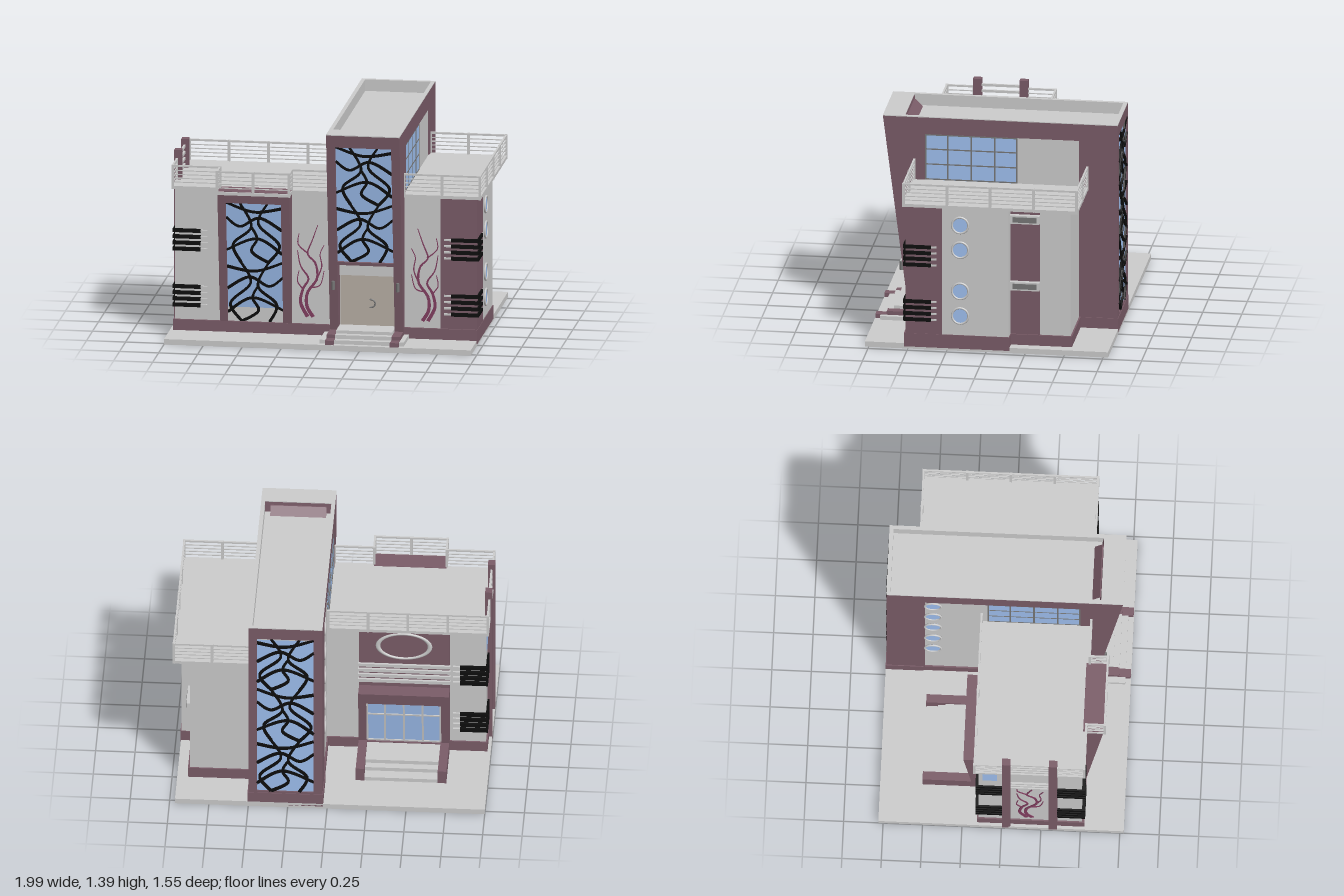
import * as THREE from 'three';

const mat = (color) => new THREE.MeshStandardMaterial({ color, side: THREE.DoubleSide });
const GREY = mat(0xcccccc), MAROON = mat(0x7a5c68), GLASS = mat(0x9fc0f0), BLACK = mat(0x0d0d0d);
const DOOR = mat(0xb8afa5), TREE = mat(0x823e60), DARK = mat(0x777777);
const LEAN = 0.127; // outward lean of the slanted frames, per unit of height

function add(parent, name, geo, material) {
  const m = new THREE.Mesh(geo, material);
  m.name = name;
  parent.add(m);
  return m;
}
function sub(parent, name) {
  const g = new THREE.Group();
  g.name = name;
  parent.add(g);
  return g;
}
// box given by its extents
const boxGeo = (x0, x1, y0, y1, z0, z1) =>
  new THREE.BoxGeometry(x1 - x0, y1 - y0, z1 - z0).translate((x0 + x1) / 2, (y0 + y1) / 2, (z0 + z1) / 2);
const box = (p, name, m, ...e) => add(p, name, boxGeo(...e), m);
const poly = (pts) => pts.map(([a, b]) => new THREE.Vector2(a, b));
const rect = (x0, x1, y0, y1) => [[x0, y0], [x1, y0], [x1, y1], [x0, y1]];
function plate(outline, holes, depth) {
  const s = new THREE.Shape(poly(outline));
  holes.forEach((h) => s.holes.push(new THREE.Path(poly(h))));
  return new THREE.ExtrudeGeometry(s, { depth, bevelEnabled: false });
}
// (z, y) profile extruded between two x positions
const sidePlate = (outline, holes, x0, x1) => plate(outline, holes, x1 - x0).rotateY(-Math.PI / 2).translate(x1, 0, 0);
// lean a geometry forward, its face at z0 on the ground
const lean = (geo, z0, k = LEAN) =>
  geo.applyMatrix4(new THREE.Matrix4().set(1, 0, 0, 0, 0, 1, 0, 0, 0, k, 1, z0, 0, 0, 0, 1));

// flat curved strip, tapering from w0 to w1
function ribbon(pts, w0, w1, depth) {
  const c = new THREE.SplineCurve(poly(pts)), n = 24, L = [], R = [];
  for (let i = 0; i <= n; i++) {
    const t = i / n, p = c.getPoint(t), d = c.getTangent(t), w = (w0 + (w1 - w0) * t) / 2;
    L.push([p.x - d.y * w, p.y + d.x * w]);
    R.unshift([p.x + d.y * w, p.y - d.x * w]);
  }
  return plate([...L, ...R], [], depth);
}

// glass pane with a tiled web of curved black strips
const WEB = [
  [[.25, 0], [.05, .3], [.42, .65], [.25, 1]], [[.75, 0], [.88, .3], [.55, .6], [.75, 1]],
  [[0, .15], [.45, .4], [1, .2]], [[0, .55], [.4, .75], [.75, .6], [1, .75]],
  [[0, .92], [.5, .85], [1, 1]], [[.25, 0], [.55, .18], [.45, .4], [.55, .6]],
];
function artWindow(parent, x0, x1, y0, y1, tiles, place) {
  const g = sub(parent, 'artWindow'), w = x1 - x0, h = (y1 - y0) / tiles;
  add(g, 'glass', place(boxGeo(x0, x1, y0, y1, -0.05, 0)), GLASS);
  for (let t = 0; t < tiles; t++) for (const line of WEB) {
    const pts = line.map(([u, v]) => [x0 + w * (t % 2 ? 1 - u : u), y0 + h * (t + v)]);
    add(g, 'curvedStrip', place(ribbon(pts, 0.019, 0.014, 0.012)), BLACK);
  }
}

// wall ornament shaped like a bare tree
const BRANCHES = [
  [[-.12, .15], [-.165, .24], [-.15, .33], [-.115, .4], [-.165, .48], [-.185, .58]],
  [[-.085, .15], [-.125, .22], [-.12, .31], [-.06, .4], [-.07, .5], [-.12, .56], [-.09, .65], [-.055, .75]],
  [[-.06, .4], [-.03, .48], [-.04, .56], [-.015, .62]], [[-.15, .33], [-.185, .38], [-.175, .45]],
  [[-.115, .56], [-.18, .62], [-.175, .69]], [[-.1, .34], [-.04, .36], [-.015, .45]],
];
function wallTree(parent, mapX, place) {
  const g = sub(parent, 'wallTree');
  BRANCHES.forEach((b, i) =>
    add(g, 'branch', place(ribbon(b.map(([x, y]) => [mapX(x), y]), i < 2 ? 0.024 : 0.009, 0.004, 0.006)), TREE));
}

// sets of horizontal bars wrapping a corner; sx, sz point away from the building
function cornerBars(parent, x, z, sx, sz) {
  const g = sub(parent, 'cornerBars');
  const span = (c, s, a, b) => [Math.min(c + s * a, c + s * b), Math.max(c + s * a, c + s * b)];
  for (const base of [0.2, 0.565]) for (let i = 0; i < 4; i++) {
    const y = base + i * 0.04, yy = [y - 0.011, y + 0.011], tip = [y - 0.006, y + 0.006];
    box(g, 'bar', BLACK, ...span(x, sx, -0.16, 0.018), ...yy, ...span(z, sz, -0.01, 0.018));
    box(g, 'bar', BLACK, ...span(x, sx, -0.01, 0.018), ...yy, ...span(z, sz, -0.16, 0.018));
    box(g, 'barTip', GREY, ...span(x, sx, -0.205, -0.16), ...tip, ...span(z, sz, -0.005, 0.012));
    box(g, 'barTip', GREY, ...span(x, sx, -0.005, 0.012), ...tip, ...span(z, sz, -0.195, -0.16));
  }
}

// roof railing along an axis-aligned path of [x, z] points
function railing(parent, path) {
  const g = sub(parent, 'roofRailing');
  for (let i = 0; i < path.length - 1; i++) {
    const [ax, az] = path[i], [bx, bz] = path[i + 1], len = Math.abs(bx - ax) + Math.abs(bz - az);
    for (const [y, t] of [[1.0, .006], [1.025, .006], [1.05, .006], [1.075, .006], [1.105, .012]])
      add(g, 'rail', new THREE.BoxGeometry(Math.abs(bx - ax) + t, t, Math.abs(bz - az) + t)
        .translate((ax + bx) / 2, y, (az + bz) / 2), GREY);
    const n = Math.max(1, Math.round(len / 0.25));
    for (let k = 0; k <= n; k++) {
      const x = ax + (bx - ax) * k / n, z = az + (bz - az) * k / n;
      box(g, 'railPost', GREY, x - .008, x + .008, .955, 1.112, z - .008, z + .008);
    }
  }
}

function porthole(parent, x, y, z, s) {
  const g = sub(parent, 'porthole');
  add(g, 'glass', new THREE.CylinderGeometry(.05, .05, .012, 32).rotateZ(Math.PI / 2).translate(x, y, z), GLASS);
  add(g, 'ring', new THREE.TorusGeometry(.052, .007, 8, 32).rotateY(Math.PI / 2).translate(x + s * .005, y, z), GREY);
}

export function createModel() {
  const house = new THREE.Group();
  house.name = 'house';
  box(house, 'groundSlab', GREY, -1, .965, 0, .035, -.78, .775);

  // wings, plinths and roofs
  const wings = sub(house, 'wings');
  box(wings, 'leftWing', GREY, -.97, .04, .03, .956, -.145, .51);
  box(wings, 'rightWing', GREY, .49, .963, .03, .956, -.145, .51);
  box(wings, 'rightRearWing', GREY, .49, .885, .03, .956, -.53, -.145);
  box(wings, 'cornerCladding', MAROON, .73, .966, .03, .956, .28, .513);
  box(wings, 'ventStrip', MAROON, .8, .888, .03, .956, -.335, -.145);
  box(wings, 'leftPlinth', MAROON, -.98, .04, .015, .105, -.155, .525);
  box(wings, 'rightPlinth', MAROON, .49, .968, .015, .105, -.15, .525);
  box(wings, 'rightRearPlinth', MAROON, .49, .897, .015, .105, -.54, -.145);
  box(wings, 'leftRoof', GREY, -.99, .035, .955, .975, -.178, .53);
  box(wings, 'bayRoof', GREY, -.685, -.215, .955, .975, .5, .645);
  box(wings, 'rightRoof', GREY, .495, .99, .955, .975, -.588, .53);
  railing(house, [[.03, -.172], [-.982, -.172], [-.982, .01]]);
  railing(house, [[-.982, .35], [-.982, .524], [-.68, .524], [-.68, .64], [-.22, .64], [-.22, .524], [.03, .524]]);
  railing(house, [[.5, .524], [.984, .524], [.984, -.582], [.5, -.582]]);
  for (const [x, z] of [[.96, 1], [-.965, 1], [-.965, -1]]) cornerBars(house, x, z > 0 ? .512 : -.148, Math.sign(x), z);
  for (const y of [.235, .4, .675, .84]) porthole(house, .964, y, .165, 1);
  for (const y of [.405, .85]) {
    box(house, 'vent', GREY, .86, .92, y, y + .055, -.335, -.145);
    box(house, 'ventGrille', DARK, .9, .923, y + .01, y + .045, -.318, -.162);
  }
  for (const z of [-.22, -.42])
    add(house, 'soffitLight', new THREE.CylinderGeometry(.015, .015, .008, 16).translate(.93, .953, z), DARK);
  const front = (geo) => geo.translate(0, 0, .509);
  wallTree(house, (x) => x, front);
  wallTree(house, (x) => .53 - x, front);

  // left side: twin columns, bars and tree
  const side = sub(house, 'leftSide');
  for (const z of [.003, .3]) box(side, 'column', MAROON, -1, -.955, .015, 1.165, z, z + .053);
  for (const y of [.7, .74, .78, 1.0, 1.04, 1.08, 1.12]) box(side, 'crossBar', GREY, -.985, -.972, y - .008, y + .008, .05, .305);
  box(side, 'smallWindow', GLASS, -.975, -.96, .8, .93, -.12, -.03);
  wallTree(side, (x) => .28 + x, (geo) => geo.rotateY(-Math.PI / 2).translate(-.969, 0, 0));

  // leaning front bay
  const bay = sub(house, 'frontBay');
  add(bay, 'bayFrame', lean(plate(rect(-.68, -.22, .035, .977), [rect(-.63, -.275, .105, .9)], .13), .51 - .13), MAROON);
  artWindow(bay, -.63, -.275, .105, .9, 2, (geo) => lean(geo, .485));

  // tower
  const tower = sub(house, 'tower');
  const Z0 = .548, face = (y) => Z0 + LEAN * y;
  add(tower, 'towerBody', sidePlate([[-.765, .02], [.49, .02], [.49, .53], [face(.53) - .03, .53],
    [face(1.32) - .03, 1.32], [-.765, 1.32]], [], .04, .49), GREY);
  const profile = [[-.775, .02], [face(.02), .02], [face(1.39), 1.39], [-.775, 1.39]];
  for (const x of [.03, .49]) {
    add(tower, 'sideCladding', sidePlate(profile, [[[-.53, .1], [-.53, 1.28], [.455, 1.28], [.455, .1]]], x, x + .01), MAROON);
    // upper side window
    const a = x === .03 ? .034 : .486, win = sub(tower, 'sideWindow');
    box(win, 'glass', GLASS, a, a + .01, .975, 1.28, -.135, .455);
    for (const z of [-.13, .01, .16, .31, .45]) box(win, 'mullion', DARK, a - .002, a + .012, .975, 1.28, z - .005, z + .005);
    for (const y of [.98, 1.08, 1.18, 1.275]) box(win, 'transom', DARK, a - .002, a + .012, y - .004, y + .004, -.135, .455);
  }
  add(tower, 'frontFrame', lean(plate([[.03, .035], [.085, .035], [.085, .52], [.445, .52], [.445, .035], [.5, .035],
    [.5, 1.39], [.03, 1.39]], [rect(.085, .445, .54, 1.31)], .14), Z0 - .14), MAROON);
  artWindow(tower, .085, .445, .54, 1.31, 2, (geo) => lean(geo, Z0 - .025));
  add(tower, 'backFrame', plate(rect(.03, .5, .02, 1.39), [rect(.085, .445, .12, 1.31)], .012).translate(0, 0, -.776), MAROON);
  artWindow(tower, -.445, -.085, .12, 1.31, 3, (geo) => geo.rotateY(Math.PI).translate(0, 0, -.768));
  box(tower, 'backPlinth', MAROON, .025, .505, .015, .105, -.78, -.54);
  add(tower, 'parapet', plate(rect(.036, .494, -.6, .77), [rect(.055, .475, -.585, .75)], .09)
    .rotateX(-Math.PI / 2).translate(0, 1.3, 0), GREY);
  add(tower, 'parapetCap', plate(rect(.03, .5, -.725, .776), [rect(.055, .475, -.585, .75)], .006)
    .rotateX(-Math.PI / 2).translate(0, 1.389, 0), GREY);
  add(tower, 'roofPanel', lean(boxGeo(.085, .44, 1.322, 1.37, -.01, 0), .585 - 1.37, 1), MAROON);
  for (const y of [.44, .63, .83, 1.02, 1.21]) porthole(tower, .037, y, -.48, -1);

  // main entrance
  const entry = sub(house, 'mainEntrance');
  box(entry, 'door', DOOR, .09, .44, .1, .43, .48, .5);
  box(entry, 'doorLintel', GREY, .085, .445, .43, .52, .48, .51);
  add(entry, 'doorHandle', new THREE.TorusGeometry(.026, .005, 8, 20, Math.PI * 1.2)
    .rotateZ(-Math.PI * .6).translate(.285, .25, .507), DARK);
  for (const x of [.058, .472])
    add(entry, 'wallLamp', new THREE.CylinderGeometry(.011, .011, .055, 12).translate(x, .385, .61), DARK);
  box(entry, 'lowerStep', GREY, -.01, .53, .03, .06, .5, .74);
  box(entry, 'middleStep', GREY, .085, .445, .03, .085, .5, .7);
  box(entry, 'upperStep', GREY, .085, .445, .03, .105, .48, .66);
  for (const x of [.03, .445]) {
    box(entry, 'stepCheek', MAROON, x, x + .055, .03, .085, .5, .7);
    box(entry, 'stepEnd', MAROON, x, x + .055, .03, .063, .69, .773);
  }

  // rear entrance with leaning frame, steps, bars and oval ring
  const rear = sub(house, 'rearEntrance');
  const turn = (z0) => (geo) => lean(geo, z0).rotateY(Math.PI);
  box(rear, 'rearPanel', MAROON, -.74, -.165, .1, .956, -.152, -.14);
  add(rear, 'ovalRing', new THREE.TorusGeometry(.1, .009, 8, 48).scale(1.65, .95, .8).translate(-.45, .835, -.153), GREY);
  for (let i = 0; i < 4; i++) box(rear, 'panelBar', GREY, -.745, -.16, .555 + i * .04, .577 + i * .04, -.168, -.14);
  add(rear, 'porchFrame', turn(.187 - .1)(plate(rect(.165, .74, .035, .52), [rect(.215, .69, .115, .44)], .1)), MAROON);
  const pane = turn(.165);
  add(rear, 'doorGlass', pane(boxGeo(.215, .69, .115, .44, -.02, 0)), GLASS);
  for (const x of [.22, .333, .4525, .572, .685]) add(rear, 'doorMullion', pane(boxGeo(x - .006, x + .006, .115, .44, 0, .008)), GREY);
  for (const y of [.12, .34, .435]) add(rear, 'doorTransom', pane(boxGeo(.215, .69, y - .005, y + .005, 0, .008)), GREY);
  [[.06, -.51], [.085, -.437], [.11, -.389]].forEach(([y, z]) => box(rear, 'step', GREY, -.69, -.215, .03, y, z, -.145));
  for (const x of [-.74, -.22]) box(rear, 'stepWall', MAROON, x, x + .055, .03, .125, -.512, -.145);
  return house;
}
